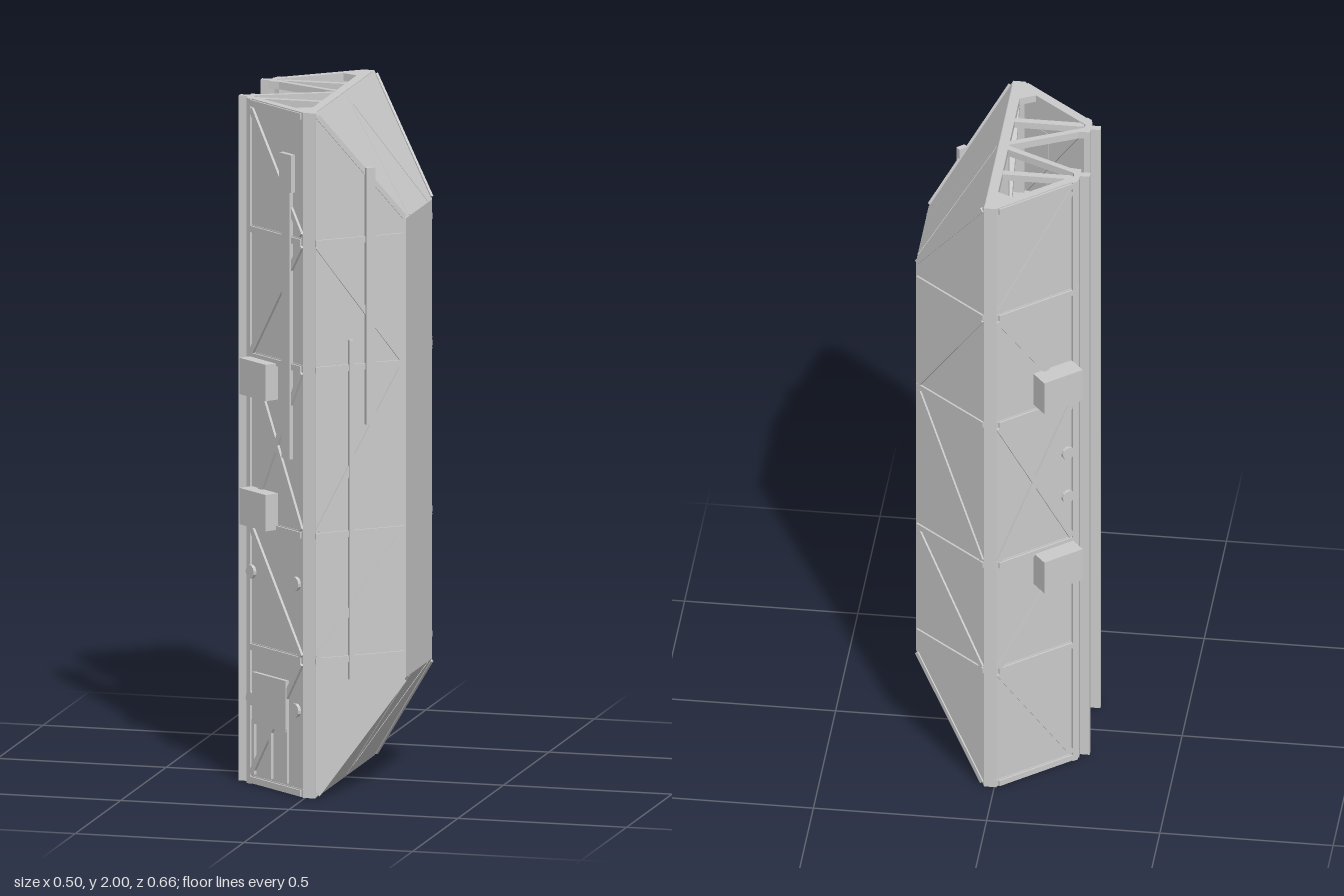
import * as THREE from 'three';

const mat = new THREE.MeshStandardMaterial({ color: 0xcccccc, flatShading: true, side: THREE.DoubleSide });
const V = (x, y, z) => new THREE.Vector3(x, y, z);

export function createModel() {
  const root = new THREE.Group();
  root.name = 'trussSegment';

  const add = (name, geo) => {
    const m = new THREE.Mesh(geo, mat);
    m.name = name;
    root.add(m);
    return m;
  };
  const box = (name, x0, x1, y0, y1, z0, z1) =>
    add(name, new THREE.BoxGeometry(x1 - x0, y1 - y0, Math.abs(z1 - z0)))
      .position.set((x0 + x1) / 2, (y0 + y1) / 2, (z0 + z1) / 2);

  // Straight member from a to b, w wide, d deep along normal n
  const beam = (name, a, b, n, w = 0.018, d = 0.016) => {
    const dir = b.clone().sub(a), len = dir.length();
    dir.normalize();
    const side = dir.clone().cross(n).normalize();
    const out = side.clone().cross(dir);
    const m = add(name, new THREE.BoxGeometry(w, len, d));
    m.quaternion.setFromRotationMatrix(new THREE.Matrix4().makeBasis(side, dir, out));
    m.position.copy(a).add(b).multiplyScalar(0.5);
    return m;
  };

  // Flat polygon panel, corners in order
  const panel = (name, ...p) => {
    const g = new THREE.BufferGeometry().setFromPoints(p);
    g.setIndex([0, 1, 2, 0, 2, 3]);
    g.computeVertexNormals();
    add(name, g);
  };

  const levels = [0.012, 0.4, 0.765, 1.25, 1.62, 1.988];

  // Horizontal bulkhead frames with triangular openings
  const hole = pts => new THREE.Path(pts.map(p => new THREE.Vector2(...p)));
  const bulkhead = s => {
    const shape = new THREE.Shape([[0.028, 0], [0.028, s * 0.327], [-0.005, s * 0.327], [-0.222, s * 0.148],
      [-0.222, s * 0.095], [-0.19, s * 0.092], [0, s * 0.002]].map(p => new THREE.Vector2(...p)));
    shape.holes.push(hole([[0.0, s * 0.022], [0.0, s * 0.24], [-0.045, s * 0.262], [-0.207, s * 0.13], [-0.2, s * 0.115]]));
    return new THREE.ExtrudeGeometry(shape, { depth: 0.022, bevelEnabled: false }).rotateX(Math.PI / 2);
  };

  for (const s of [1, -1]) {
    for (const y of levels) {
      // rotateX maps shape y to z and extrudes downward
      add('bulkheadFrame', bulkhead(s)).position.y = y + 0.012;
      box('trayBar', -0.2, 0, y - 0.011, y + 0.009, s * 0.125, s * 0.145);
    }

    // Slot rails
    box('slotRail', -0.25, -0.222, 0, 2, s * 0.11, s * 0.13);
    box('slotRailFlange', -0.222, -0.205, 0, 2, s * 0.095, s * 0.147);
    // Main longeron on the ridge
    box('ridgeLongeron', -0.006, 0.03, 0, 2, s * 0.303, s * 0.328);
    // Equipment along the inside of the slot
    for (const y of [0.55, 0.88, 1.08, 1.4, 1.78])
      box('slotUnit', -0.18, -0.135, y - 0.05, y + 0.05, s * 0.123, s * 0.146);

    // Skin panels
    panel('rearSkin', V(-0.004, 0, s * 0.325), V(-0.004, 2, s * 0.325), V(-0.22, 2, s * 0.147), V(-0.22, 0, s * 0.147));
    panel('foreSkin', V(0.03, 0, s * 0.325), V(0.03, 2, s * 0.325), V(0.25, 1.67, s * 0.144), V(0.25, 0.33, s * 0.144));

    // Points and normals on the two sloped faces
    const nR = V(-0.635, 0, s * 0.772), nF = V(0.635, 0, s * 0.772);
    const rear = (x, y, o = 0) => V(x, y, s * (0.328 + 0.824 * x)).addScaledVector(nR, o);
    const fore = (x, y, o = 0) => V(x, y, s * (0.325 - 0.823 * (x - 0.03))).addScaledVector(nF, o);

    // Rear face struts: crossbars, then zigzag with a crossed centre bay
    for (const y of levels) beam('rearCrossbar', rear(-0.205, y), rear(-0.01, y), nR);
    beam('rearEdge', rear(-0.208, 0), rear(-0.208, 2), nR);
    for (const [x0, y0, x1, y1] of [[-0.2, 1.97, -0.01, 1.64], [-0.01, 1.61, -0.2, 1.26], [-0.2, 1.24, -0.01, 0.78],
      [-0.01, 1.24, -0.2, 0.78], [-0.2, 0.75, -0.01, 0.41], [-0.01, 0.39, -0.2, 0.03]])
      beam('rearDiagonal', rear(x0, y0), rear(x1, y1), nR);

    // Fore face struts
    for (const y of levels.slice(1, 5)) beam('foreCrossbar', fore(0.03, y), fore(0.244, y), nF, 0.018, 0.012);
    for (const [x0, y0, x1, y1] of [[0.035, 1.61, 0.24, 1.26], [0.24, 1.24, 0.035, 0.78], [0.24, 0.755, 0.035, 0.41]])
      beam('foreDiagonal', fore(x0, y0), fore(x1, y1), nF, 0.016, 0.012);
    for (const [y0, y1] of [[1.99, 1.675], [0.01, 0.325]])
      beam('foreSlantEdge', fore(0.035, y0), fore(0.246, y1), nF, 0.014, 0.008);

    // Boxes mounted on the rear face, each with a bracket reaching inside
    for (const y of s > 0 ? [0.815, 1.195] : [0.71, 1.33]) {
      beam('equipmentBox', rear(-0.152, y - 0.053, 0.022), rear(-0.152, y + 0.053, 0.022), nR, 0.13, s > 0 ? 0.044 : 0.075);
      beam('boxBracket', rear(-0.15, y - 0.04, -0.045), rear(-0.15, y + 0.04, -0.045), nR, 0.05, 0.07);
    }

    // Round fittings on the rear face
    for (const [x, y] of s > 0 ? [[-0.2, 0.62], [-0.03, 0.62], [-0.2, 0.25], [-0.03, 0.25]] : [[-0.19, 1.07], [-0.19, 0.92]]) {
      const k = add('roundFitting', new THREE.CylinderGeometry(0.02, 0.02, 0.016, 12));
      k.quaternion.setFromUnitVectors(V(0, 1, 0), nR);
      k.position.copy(rear(x, y, 0.002));
    }

    if (s > 0) {
      // Long handrails
      beam('rearRail', rear(-0.06, 0.98, 0.006), rear(-0.06, 1.87, 0.006), nR, 0.04, 0.014);
      beam('rearRailHead', rear(-0.06, 1.76, 0.007), rear(-0.06, 1.87, 0.007), nR, 0.058, 0.016);
      beam('foreRail', fore(0.16, 1.08, 0.006), fore(0.16, 1.83, 0.006), nF, 0.028, 0.016);
      beam('foreThinRail', fore(0.115, 0.34, 0.004), fore(0.115, 1.33, 0.004), nF, 0.014, 0.012);
      // Lower bracket plate with legs
      beam('bracketPlate', rear(-0.125, 0.18, 0.006), rear(-0.125, 0.33, 0.006), nR, 0.165, 0.012);
      for (const x of [-0.19, -0.125, -0.065])
        beam('bracketLeg', rear(x, 0.03, 0.003), rear(x, 0.19, 0.003), nR, 0.012, 0.01);
    }

    // Braces behind the ridge plane
    for (let i = 0; i < 5; i++) {
      const up = i % 2 ? 1 : 0;
      beam('innerDiagonal', V(0.012, levels[i + up], 0), V(0.012, levels[i + 1 - up], s * 0.31), V(1, 0, 0));
    }
  }

  box('centreLongeron', 0, 0.028, 0, 2, -0.011, 0.011);

  // Outer face and the two slanted ends
  panel('outerSkin', V(0.25, 0.33, 0.144), V(0.25, 0.33, -0.144), V(0.25, 1.67, -0.144), V(0.25, 1.67, 0.144));
  for (const [yo, yi, d] of [[2, 1.67, 1], [0, 0.33, -1]]) {
    panel('slantedEnd', V(0.03, yo, 0.325), V(0.25, yi, 0.144), V(0.25, yi, -0.144), V(0.03, yo, -0.325));
    const n = V(0.832, d * 0.555, 0);
    for (const s of [1, -1])
      beam('endRib', V(0.036, yo - d * 0.012, 0), V(0.247, yi + d * 0.002, s * 0.105), n, 0.012, 0.006);
  }
  return root;
}
